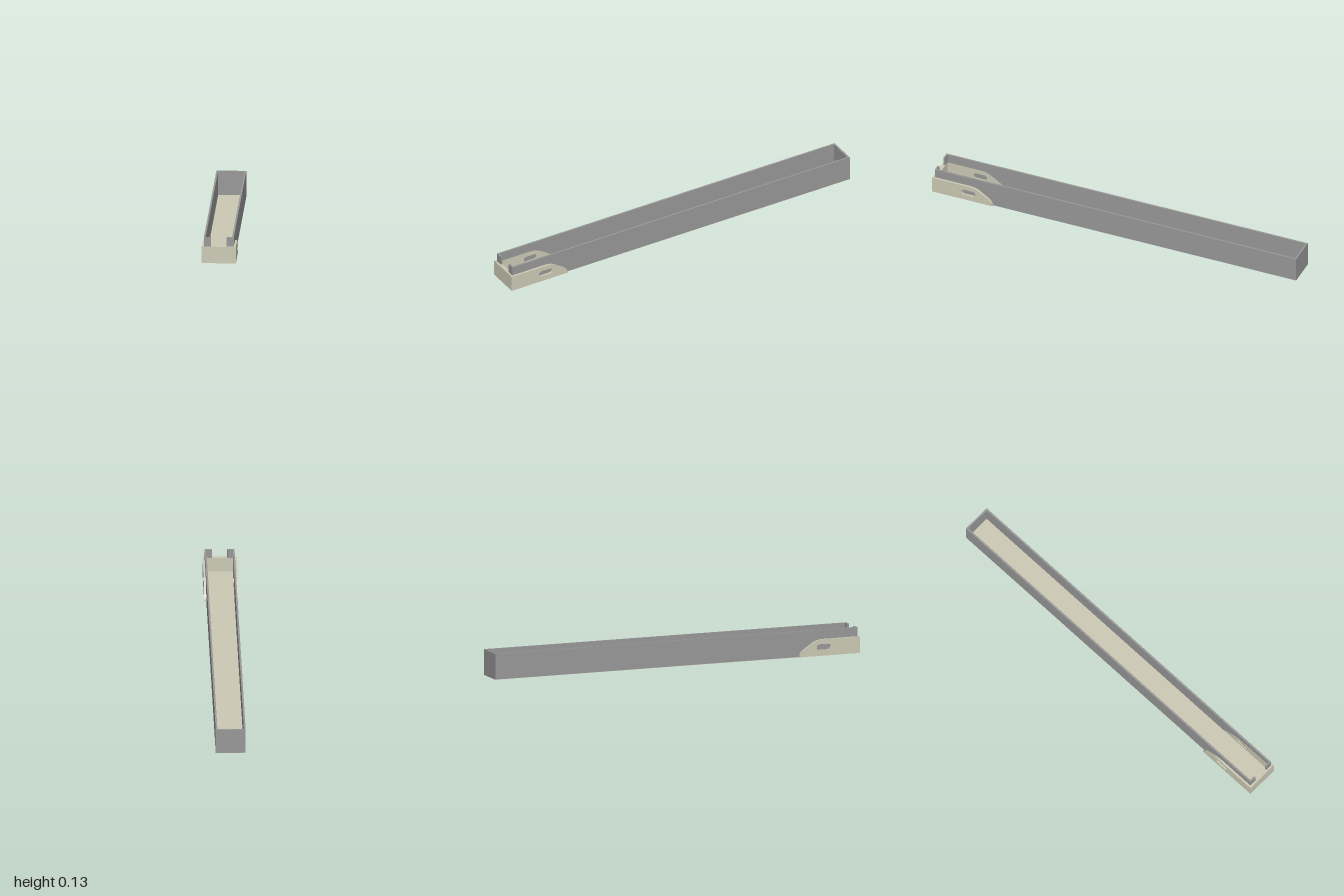
import * as THREE from 'three';

const grey = new THREE.MeshStandardMaterial({ color: 0x989898 });
const beige = new THREE.MeshStandardMaterial({ color: 0xcccab5 });

const OUT = 0.076, IN = 0.067, CHEEK = 0.087; // half widths
const TOP = 0.132, CAP = 0.085, FRONT = 0.99; // wall top, cap top, wall front end

export function createModel() {
  const model = new THREE.Group();
  model.name = 'trough';

  const add = (name, geometry, material) => {
    const mesh = new THREE.Mesh(geometry, material);
    mesh.name = name;
    model.add(mesh);
  };
  // Box given by its lower and upper corners
  const box = (name, material, x0, x1, y0, y1, z0, z1) => {
    const g = new THREE.BoxGeometry(x1 - x0, y1 - y0, z1 - z0);
    g.translate((x0 + x1) / 2, (y0 + y1) / 2, (z0 + z1) / 2);
    add(name, g, material);
  };
  // Side profile (drawn with -z to the right) extruded from a to b, mirrored to each side
  const sidePair = (name, shape, a, b, material) => {
    for (const s of [1, -1]) {
      const g = new THREE.ExtrudeGeometry(shape, { depth: b - a, bevelEnabled: false, curveSegments: 10 });
      g.rotateY(Math.PI / 2).translate(s > 0 ? a : -b, 0, 0);
      add((s > 0 ? 'left' : 'right') + name, g, material);
    }
  };
  // Curved rear edge of the cheek, from its top down to the base
  const cheekCurve = (shape) => {
    shape.lineTo(-0.8, CAP);
    shape.quadraticCurveTo(-0.77, CAP, -0.745, 0.072);
    shape.lineTo(-0.687, 0.034);
    shape.quadraticCurveTo(-0.67, 0.022, -0.668, 0);
  };
  // Rounded slot outline
  const slot = (path) => {
    const r = 0.015, z = 0.8, half = 0.023, y = 0.045;
    path.absarc(-z + half, y, r, -Math.PI / 2, Math.PI / 2, false);
    path.absarc(-z - half, y, r, Math.PI / 2, Math.PI * 1.5, false);
    path.closePath();
    return path;
  };

  // Long side walls, cut away where the cheeks sit
  const wall = new THREE.Shape();
  wall.moveTo(-FRONT, TOP);
  wall.lineTo(-FRONT, CAP);
  cheekCurve(wall);
  wall.lineTo(1, 0);
  wall.lineTo(1, TOP);
  wall.closePath();
  sidePair('Wall', wall, IN, OUT, grey);

  // Slotted cheeks of the end cap
  const cheek = new THREE.Shape();
  cheek.moveTo(-1, 0);
  cheek.lineTo(-1, CAP);
  cheekCurve(cheek);
  cheek.closePath();
  cheek.holes.push(slot(new THREE.Path()));
  sidePair('Cheek', cheek, IN, CHEEK, beige);

  // Recessed plugs in the slots
  sidePair('SlotPlug', slot(new THREE.Shape()), IN + 0.005, OUT, grey);

  // End cap front, rear wall and front tabs beside the notch
  box('capFront', beige, -IN, IN, 0, CAP, FRONT - 0.009, 1);
  box('rearWall', grey, -IN, IN, 0, TOP, -1, -0.991);
  box('leftFrontTab', grey, 0.039, IN, CAP, TOP, FRONT - 0.009, FRONT);
  box('rightFrontTab', grey, -IN, -0.039, CAP, TOP, FRONT - 0.009, FRONT);

  // Floor between the walls, with a thin sheet under them
  box('floor', beige, -IN, IN, 0, 0.008, -0.991, FRONT - 0.009);
  box('baseSheet', beige, -OUT, OUT, -0.001, 0.0005, -1, FRONT);

  return model;
}
